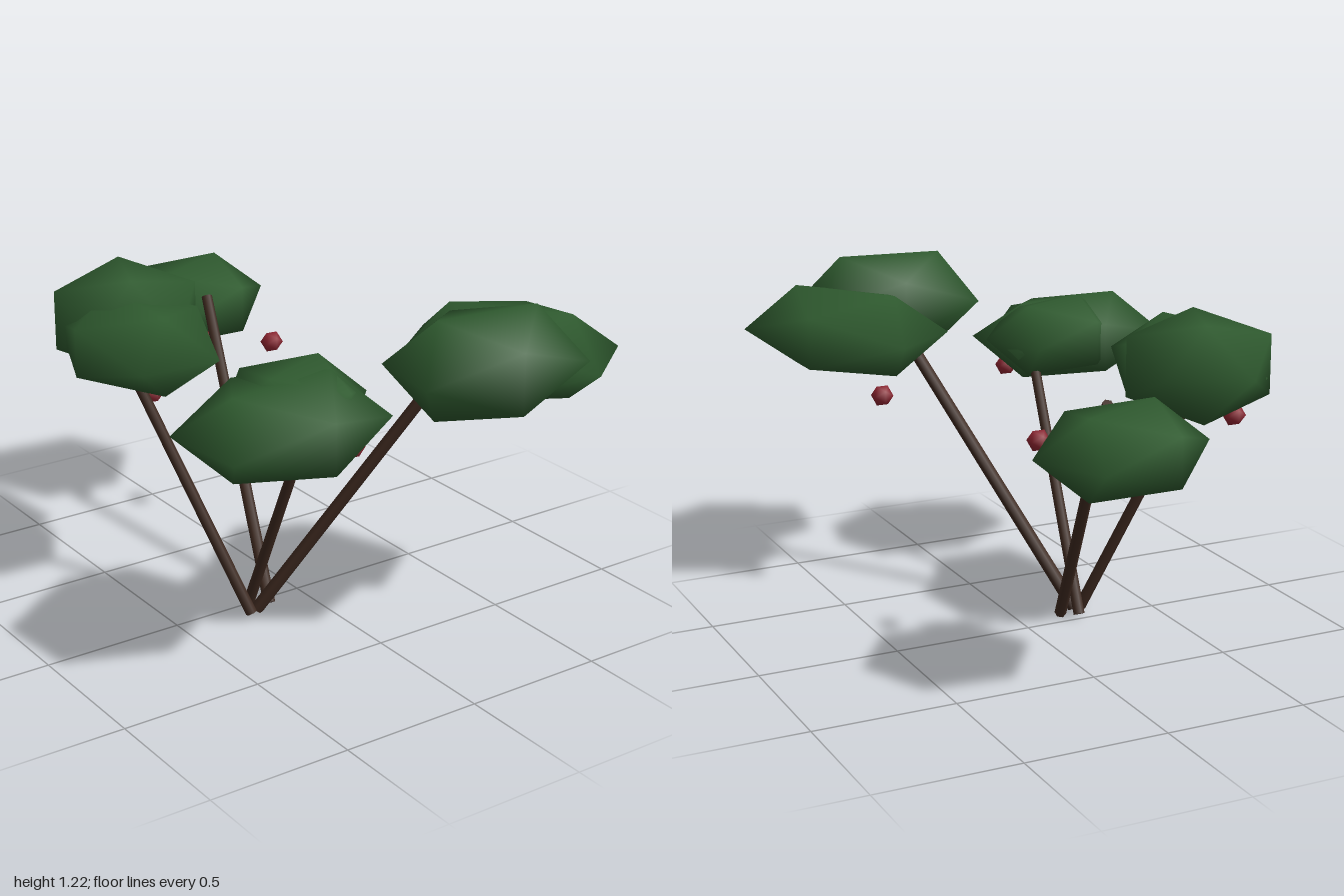
import * as THREE from 'three';
import { mergeVertices } from 'three/addons/utils/BufferGeometryUtils.js';

const leafMat = new THREE.MeshStandardMaterial({ color: 0x2f5a2f });
const barkMat = new THREE.MeshStandardMaterial({ color: 0x3f2a20 });
const berryMat = new THREE.MeshStandardMaterial({ color: 0x8e2430 });

// Twenty-sided ball with shared vertices, so the shading runs softly over the facets
function softIcosahedron() {
  const g = new THREE.IcosahedronGeometry(1, 0);
  g.deleteAttribute('normal');
  g.deleteAttribute('uv');
  const merged = mergeVertices(g, 1e-4);
  merged.computeVertexNormals();
  return merged;
}

// Tapered six-sided stem between two points
function stem(from, to, radius) {
  const a = new THREE.Vector3(...from), b = new THREE.Vector3(...to);
  const dir = b.clone().sub(a);
  const mesh = new THREE.Mesh(
    new THREE.CylinderGeometry(radius * 0.9, radius, dir.length(), 6), barkMat);
  mesh.position.copy(a).add(b).multiplyScalar(0.5);
  mesh.quaternion.setFromUnitVectors(new THREE.Vector3(0, 1, 0), dir.normalize());
  mesh.name = 'stem';
  return mesh;
}

export function createModel() {
  const model = new THREE.Group();
  model.name = 'berryShrub';
  const ball = softIcosahedron();

  // Four stems fanning out from the ground: foot, tip, radius
  const stems = [
    [[-0.155, 0.01, 0.055], [-0.02, 0.95, -0.54], 0.021],
    [[-0.25, 0.01, 0.085], [-0.52, 0.9, -0.26], 0.02],
    [[-0.205, 0.015, 0.005], [-0.222, 0.9, 0.43], 0.02],
    [[-0.22, 0.015, 0.075], [0.2, 0.91, 0.51], 0.024],
  ];
  stems.forEach(s => model.add(stem(...s)));

  // Flattened leaf clumps: centre, radii, turn about the vertical
  const clumps = [
    [[0.045, 0.865, -0.76], [0.315, 0.158, 0.27], 0.43],
    [[-0.435, 0.998, -0.4], [0.265, 0.197, 0.285], 1.2],
    [[-0.49, 0.965, -0.23], [0.36, 0.16, 0.27], 1.52],
    [[-0.43, 0.905, 0.545], [0.375, 0.165, 0.3], 0.1],
    [[-0.33, 0.93, 0.465], [0.265, 0.15, 0.245], 0.4],
    [[0.19, 1.053, 0.77], [0.35, 0.197, 0.265], -0.13],
    [[0.43, 0.995, 0.6], [0.39, 0.17, 0.285], -0.925],
  ];
  clumps.forEach(([centre, radii, turn]) => {
    const mesh = new THREE.Mesh(ball, leafMat);
    mesh.name = 'leafClump';
    mesh.position.set(...centre);
    mesh.scale.set(...radii);
    mesh.rotation.y = turn;
    model.add(mesh);
  });

  // Berries hanging below the clumps
  const berries = [
    [0.135, 0.8, -0.355], [-0.02, 0.775, -0.55], [-0.39, 0.735, -0.31],
    [-0.56, 0.82, -0.43], [-0.2, 0.8, 0.6], [0.38, 0.8, 0.39],
  ];
  berries.forEach(p => {
    const mesh = new THREE.Mesh(ball, berryMat);
    mesh.name = 'berry';
    mesh.position.set(...p);
    mesh.scale.setScalar(0.04);
    model.add(mesh);
  });

  return model;
}
